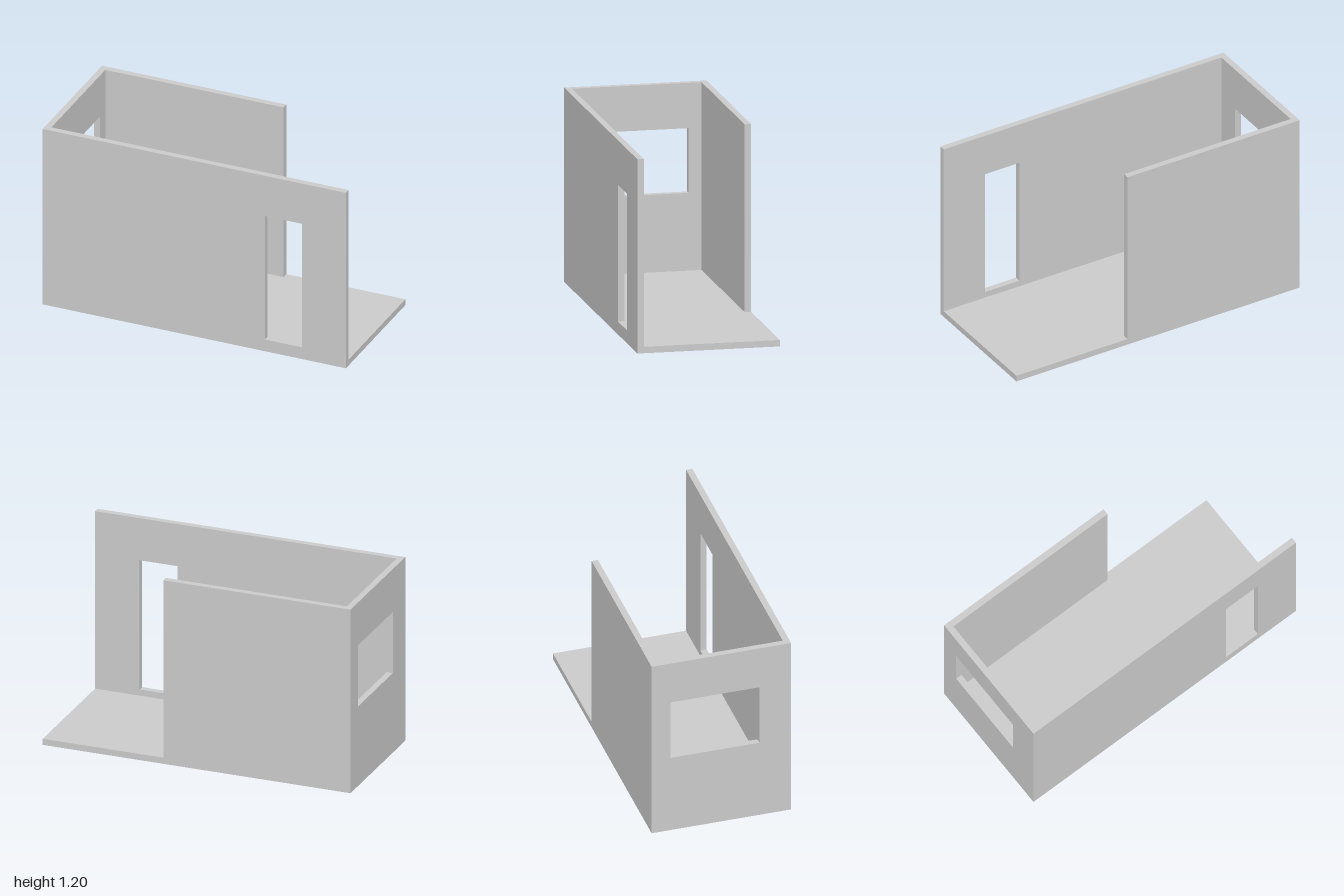
import * as THREE from 'three';

const T = 0.04, W = 1, D = 0.44, H = 1.2; // thickness, half width, half depth, height

// Counter-clockwise rectangle path
function rect(path, x0, y0, x1, y1) {
  path.moveTo(x0, y0);
  path.lineTo(x1, y0);
  path.lineTo(x1, y1);
  path.lineTo(x0, y1);
  path.closePath();
  return path;
}

// Wall slab with an optional rectangular opening
function wallGeometry(outline, opening) {
  const shape = rect(new THREE.Shape(), ...outline);
  if (opening) shape.holes.push(rect(new THREE.Path(), ...opening));
  return new THREE.ExtrudeGeometry(shape, { depth: T, bevelEnabled: false });
}

export function createModel() {
  const group = new THREE.Group();
  group.name = 'openRoom';
  const material = new THREE.MeshStandardMaterial({ color: 0xcccccc, flatShading: true });
  const add = (name, geometry) => {
    const mesh = new THREE.Mesh(geometry, material);
    mesh.name = name;
    group.add(mesh);
  };

  // Floor slab, meeting the inside of the front wall
  add('floor', new THREE.BoxGeometry(2 * W, T, 2 * D - T).translate(0, T / 2, -T / 2));

  // Full-length front wall with a doorway
  add('frontWall', wallGeometry([-W, 0, W, H], [0.465, 0.08, 0.71, 0.925]).translate(0, 0, D - T));

  // Shorter back wall, leaving the rest of that side open
  add('backWall', wallGeometry([-W, T, 0.215, H]).translate(0, 0, -D));

  // End wall with a window, between front and back walls
  add('endWall', wallGeometry([T - D, T, D - T, H], [-0.24, 0.52, 0.32, 0.92])
    .rotateY(Math.PI / 2).translate(-W, 0, 0));

  return group;
}
